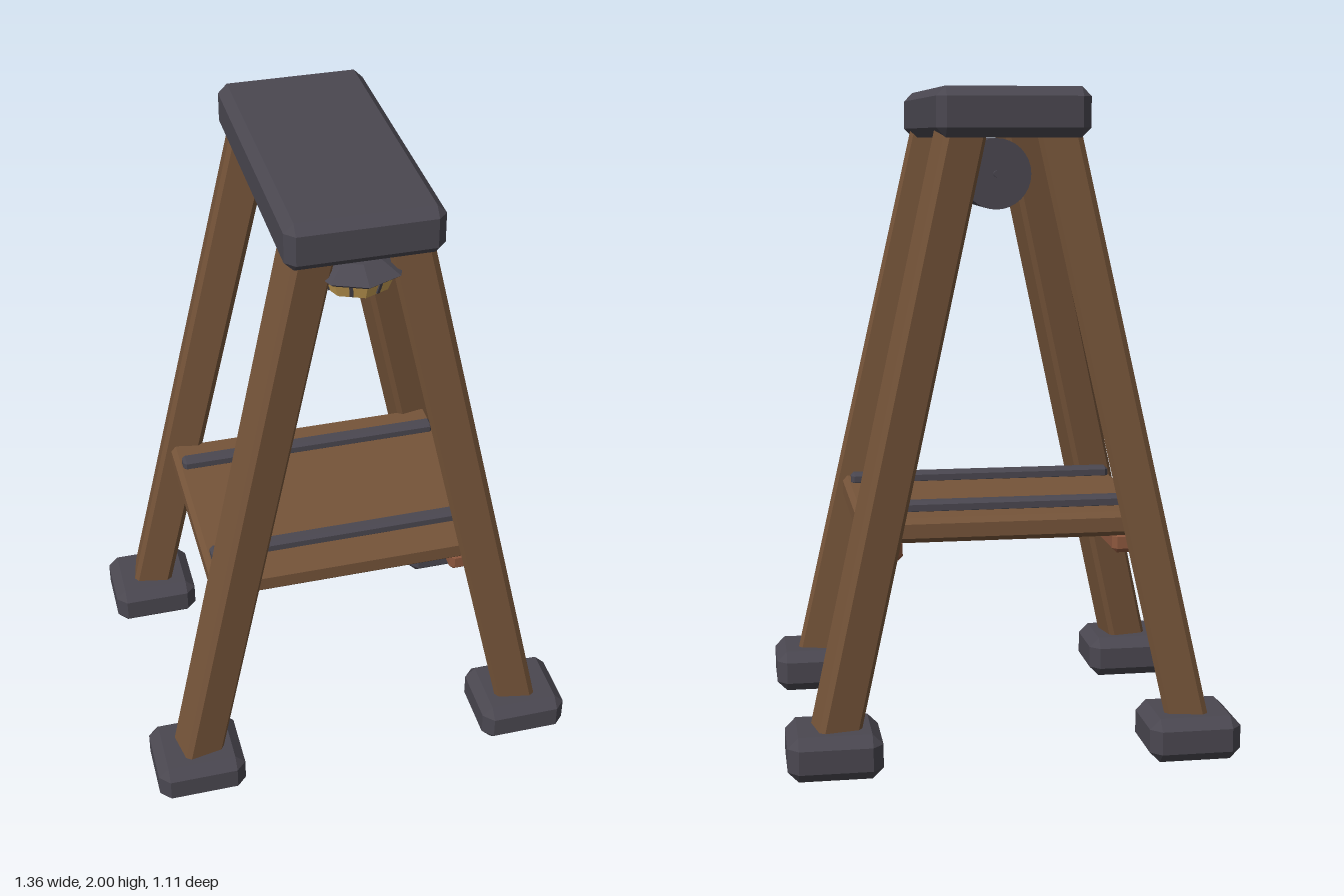
import * as THREE from 'three';
import { ConvexGeometry } from 'three/addons/geometries/ConvexGeometry.js';

const material = (name, color, flatShading = false) => {
  const m = new THREE.MeshStandardMaterial({ color, flatShading });
  m.name = name;
  return m;
};

// Box with every edge and corner cut by c
function chamferBox(w, h, d, c) {
  const [x, y, z] = [w / 2, h / 2, d / 2];
  const points = [];
  for (const i of [-1, 1]) for (const j of [-1, 1]) for (const k of [-1, 1]) {
    points.push(
      new THREE.Vector3(i * x, j * (y - c), k * (z - c)),
      new THREE.Vector3(i * (x - c), j * y, k * (z - c)),
      new THREE.Vector3(i * (x - c), j * (y - c), k * z));
  }
  return new ConvexGeometry(points);
}

export function createModel() {
  const model = new THREE.Group();
  model.name = 'stool';

  const iron = material('darkIron', 0x4a4750, true);
  const ironSmooth = material('darkIronSmooth', 0x4a4750);
  const wood = material('brownWood', 0x755439, true);
  const redWood = material('reddishWood', 0x8c573e, true);
  const brass = material('brass', 0xc9a156, true);

  const add = (name, geometry, mat, x, y, z, parent = model) => {
    const mesh = new THREE.Mesh(geometry, mat);
    mesh.name = name;
    mesh.position.set(x, y, z);
    parent.add(mesh);
    return mesh;
  };

  // Top slab
  add('seat', chamferBox(0.45, 0.145, 0.91, 0.028), iron, 0, 1.9275, 0);

  // Splayed legs and their feet
  const footGeometry = chamferBox(0.28, 0.135, 0.25, 0.032);
  for (const sx of [-1, 1]) for (const sz of [-1, 1]) {
    const bottom = new THREE.Vector3(0.545 * sx, 0.07, 0.433 * sz);
    const top = new THREE.Vector3(0.122 * sx, 1.975, 0.35 * sz);
    const up = top.clone().sub(bottom);
    const length = up.length();
    up.normalize();
    const across = new THREE.Vector3(-up.z, 0, up.x).normalize();
    const out = across.clone().cross(up);
    const middle = bottom.clone().add(top).multiplyScalar(0.5);
    const leg = add('leg', chamferBox(0.127, length, 0.127, 0.014), wood, middle.x, middle.y, middle.z);
    leg.quaternion.setFromRotationMatrix(new THREE.Matrix4().makeBasis(across, up, out));
    add('foot', footGeometry, iron, 0.54 * sx, 0.0675, 0.43 * sz);
  }

  // Shelf, with rails below and straps across it
  add('shelf', chamferBox(0.9, 0.075, 0.72, 0.016), wood, 0, 0.6975, 0);
  for (const s of [-1, 1]) {
    add('shelfRail', chamferBox(0.1, 0.065, 0.7, 0.014), redWood, 0.37 * s, 0.638, 0);
    add('shelfStrap', chamferBox(0.86, 0.04, 0.046, 0.01), iron, 0, 0.746, 0.235 * s);
  }

  // Drum hanging under the seat
  const drum = new THREE.Group();
  drum.name = 'drum';
  drum.position.set(0, 1.745, 0);
  model.add(drum);
  const alongZ = (r, l) => new THREE.CylinderGeometry(r, r, l, 32).rotateX(Math.PI / 2);
  add('drumBody', alongZ(0.108, 0.205), ironSmooth, 0, 0, -0.0025, drum);
  add('drumFace', alongZ(0.088, 0.02), redWood, 0, 0, 0.109, drum);
  add('drumPin', alongZ(0.01, 0.24), ironSmooth, 0, 0, 0.002, drum);

  // Eight-sided lantern under the front edge
  const lantern = new THREE.Group();
  lantern.name = 'lantern';
  lantern.position.set(0, 0, 0.338);
  model.add(lantern);
  add('lanternStem', new THREE.CylinderGeometry(0.03, 0.03, 0.04, 8), iron, 0, 1.85, 0, lantern);
  add('lanternCap', new THREE.CylinderGeometry(0.075, 0.14, 0.035, 8), iron, 0, 1.8175, 0, lantern);
  add('lanternRim', new THREE.CylinderGeometry(0.14, 0.125, 0.012, 8), iron, 0, 1.794, 0, lantern);
  add('lanternGlow', new THREE.CylinderGeometry(0.118, 0.1, 0.045, 8), brass, 0, 1.766, 0, lantern);
  for (let i = 0; i < 8; i++) {
    const a = (i + 0.5) * Math.PI / 4;
    const bar = add('lanternBar', new THREE.BoxGeometry(0.01, 0.04, 0.008), iron,
      Math.sin(a) * 0.102, 1.768, Math.cos(a) * 0.102, lantern);
    bar.rotation.set(0.35, a, 0, 'YXZ');
  }
  return model;
}
